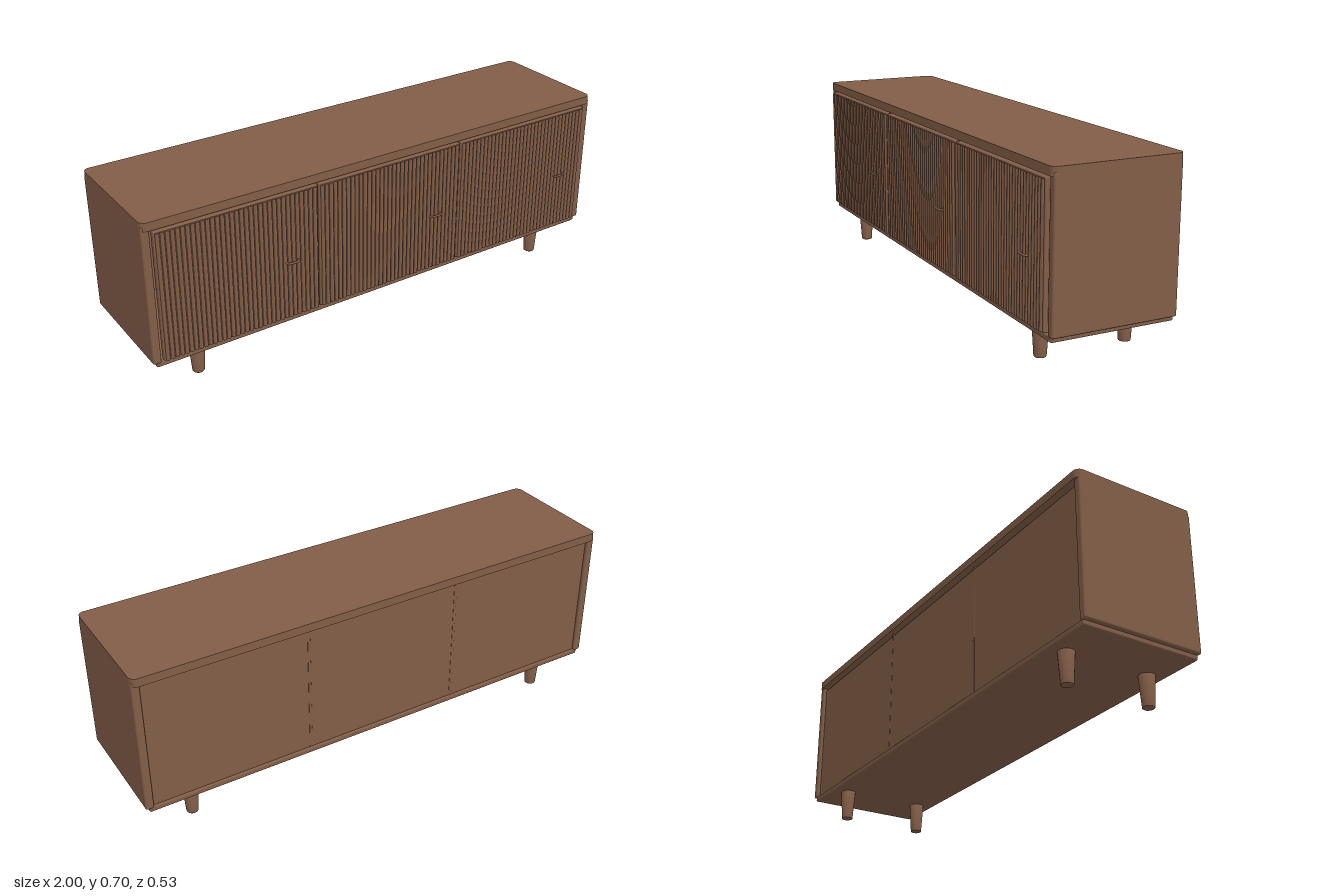
import * as THREE from 'three';
import { RoundedBoxGeometry } from 'three/addons/geometries/RoundedBoxGeometry.js';

export function createModel() {
  const model = new THREE.Group();
  model.name = 'sideboard';
  const wood = new THREE.MeshStandardMaterial({ color: 0x825d47 });
  wood.name = 'walnut';

  const add = (name, geometry, parent = model) => {
    const mesh = new THREE.Mesh(geometry, wood);
    mesh.name = name;
    parent.add(mesh);
    return mesh;
  };

  // Softened board given by its limits on each axis
  const board = (name, [x0, x1], [y0, y1], [z0, z1], radius, parent) => {
    const mesh = add(name, new RoundedBoxGeometry(x1 - x0, y1 - y0, z1 - z0, 3, radius), parent);
    mesh.position.set((x0 + x1) / 2, (y0 + y1) / 2, (z0 + z1) / 2);
    return mesh;
  };

  // Top slab with rounded vertical corners
  const halfDepth = 0.249, r = 0.025;
  const outline = new THREE.Shape();
  outline.absarc(1 - r, halfDepth - r, r, 0, Math.PI / 2);
  outline.absarc(r - 1, halfDepth - r, r, Math.PI / 2, Math.PI);
  outline.absarc(r - 1, r - halfDepth, r, Math.PI, Math.PI * 1.5);
  outline.absarc(1 - r, r - halfDepth, r, Math.PI * 1.5, Math.PI * 2);
  const slab = new THREE.ExtrudeGeometry(outline, { depth: 0.033, bevelEnabled: false, curveSegments: 8 });
  slab.rotateX(-Math.PI / 2);
  add('top', slab).position.set(0, 0.667, -0.0125);

  // Carcass: base, sides, back and inner dividers
  board('base', [-0.985, 0.985], [0.12, 0.142], [-0.25, 0.225], 0.006);
  for (const s of [-1, 1]) {
    const side = board(s > 0 ? 'leftSide' : 'rightSide', [0.968, 1], [0.138, 0.683], [-0.254, 0.23], 0.008);
    side.position.x *= s;
    board('divider', [s * 0.322 - 0.006, s * 0.322 + 0.006], [0.14, 0.667], [-0.242, 0.222], 0.002);
  }
  board('backPanel', [-0.97, 0.97], [0.138, 0.658], [-0.241, -0.226], 0.002);

  // Three tambour doors, each with half-round slats and a bar handle
  const doorWidth = 0.638, pitch = 0.0185, slatCount = 34;
  const slatGeometry = new THREE.CylinderGeometry(0.008, 0.008, 0.502, 10);
  const handlePath = new THREE.CatmullRomCurve3([
    [-0.024, -0.016], [-0.024, -0.004], [-0.02, 0], [0.02, 0], [0.024, -0.004], [0.024, -0.016],
  ].map(([x, z]) => new THREE.Vector3(x, 0, z)), false, 'centripetal');
  const handleGeometry = new THREE.TubeGeometry(handlePath, 24, 0.0045, 8);
  const handleX = [-0.44, 0.203, 0.845];

  for (let d = 0; d < 3; d++) {
    const door = new THREE.Group();
    door.name = 'door' + (d + 1);
    model.add(door);
    const cx = (d - 1) * 0.643;
    board('doorPanel', [cx - doorWidth / 2, cx + doorWidth / 2], [0.149, 0.661], [0.218, 0.24], 0.005, door);
    for (let i = 0; i < slatCount; i++) {
      add('slat', slatGeometry, door).position.set(cx + (i - (slatCount - 1) / 2) * pitch, 0.404, 0.24);
    }
    add('handle', handleGeometry, door).position.set(handleX[d], 0.386, 0.2575);
  }

  // Tapered legs
  const legProfile = [[0, 0], [0.021, 0], [0.0225, 0.002], [0.0305, 0.121], [0, 0.121]]
    .map(([x, y]) => new THREE.Vector2(x, y));
  const legGeometry = new THREE.LatheGeometry(legProfile, 20);
  for (const x of [-0.8, 0.8]) {
    for (const z of [0.157, -0.182]) add('leg', legGeometry).position.set(x, 0, z);
  }

  return model;
}
